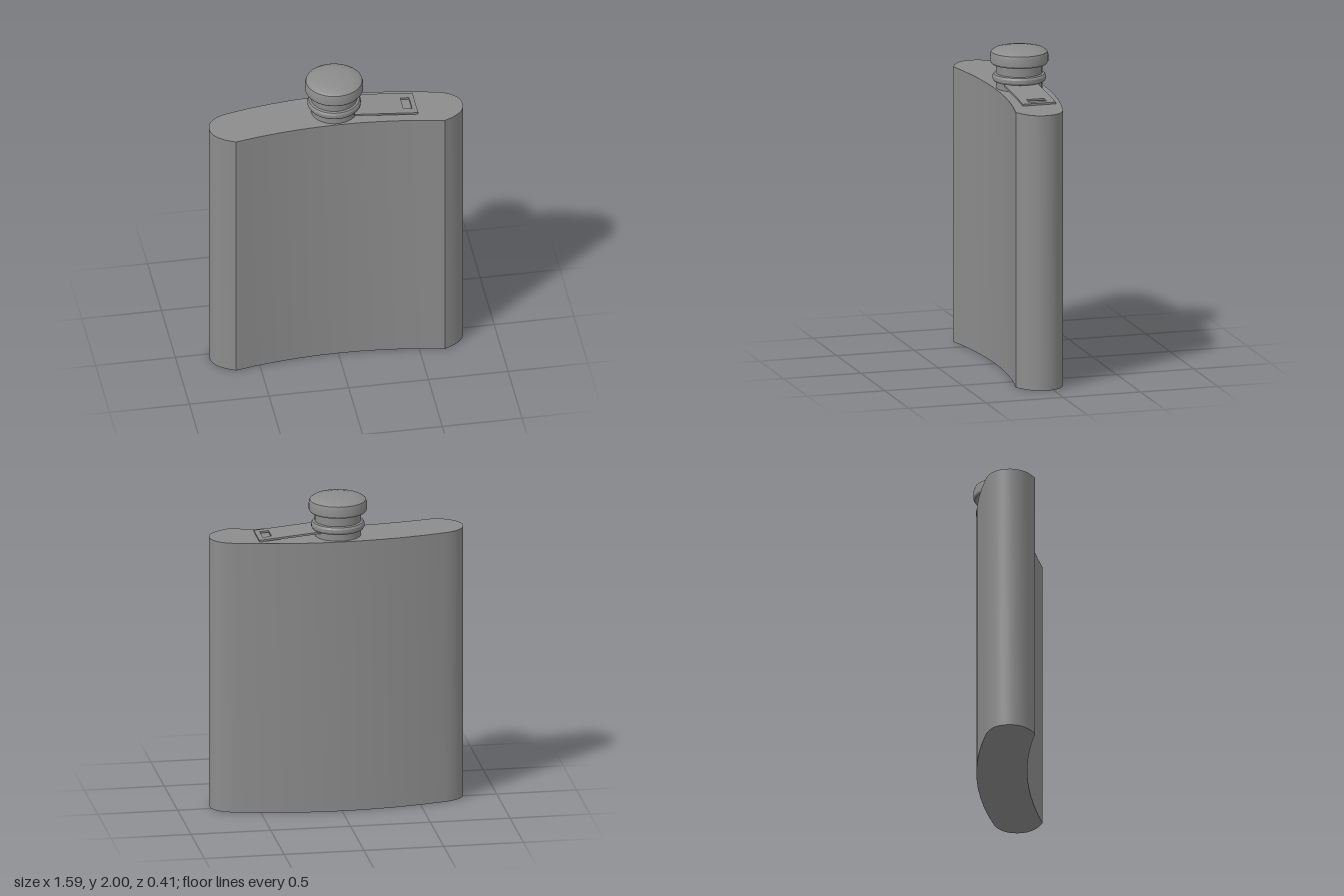
import * as THREE from 'three';
import { toCreasedNormals } from 'three/addons/utils/BufferGeometryUtils.js';

const steel = new THREE.MeshStandardMaterial({ color: 0x8c8c8c });
steel.name = 'steel grey';

function addPart(group, name, geometry, crease = 0.45) {
  const mesh = new THREE.Mesh(toCreasedNormals(geometry, crease), steel);
  mesh.name = name;
  group.add(mesh);
  return mesh;
}

// Extrudes a plan drawn in x and z downwards from y = 0
function extrudeDown(shape, depth) {
  return new THREE.ExtrudeGeometry(shape, { depth, bevelEnabled: false, curveSegments: 10 }).rotateX(Math.PI / 2);
}

export function createModel() {
  const flask = new THREE.Group();
  flask.name = 'flask';

  // Curved body with rounded ends
  const plan = new THREE.Shape();
  plan.moveTo(-0.655, -0.105);
  plan.quadraticCurveTo(0, -0.265, 0.655, -0.105);
  plan.bezierCurveTo(0.75, -0.08, 0.795, -0.03, 0.795, 0.045);
  plan.bezierCurveTo(0.795, 0.11, 0.75, 0.16, 0.655, 0.2);
  plan.quadraticCurveTo(0, 0.06, -0.655, 0.2);
  plan.bezierCurveTo(-0.75, 0.16, -0.795, 0.11, -0.795, 0.045);
  plan.bezierCurveTo(-0.795, -0.03, -0.75, -0.08, -0.655, -0.105);
  addPart(flask, 'body', extrudeDown(plan, 1.745)).position.y = 1.745;

  // Turned parts share the neck axis
  const turned = {
    neck: [[0.143, 1.74], [0.143, 1.92]],
    neckRing: [[0.14, 1.785], [0.157, 1.79], [0.165, 1.803], [0.165, 1.822], [0.157, 1.835], [0.14, 1.84]],
    cap: [[0, 1.9], [0.172, 1.9], [0.18, 1.912], [0.18, 1.955], [0.174, 1.975], [0.155, 1.988], [0.095, 2], [0, 2]],
  };
  for (const [name, profile] of Object.entries(turned)) {
    const points = profile.map(([r, y]) => new THREE.Vector2(r, y));
    addPart(flask, name, new THREE.LatheGeometry(points, 48)).position.z = -0.025;
  }

  // Sloping retaining strap with a slot near its tip
  const strap = new THREE.Shape();
  strap.moveTo(0, -0.106);
  strap.lineTo(0.4, -0.106);
  strap.lineTo(0.4, 0.106);
  strap.lineTo(0, 0.106);
  strap.closePath();
  const slot = new THREE.Path();
  slot.moveTo(0.315, -0.055);
  slot.lineTo(0.315, 0.06);
  slot.lineTo(0.37, 0.06);
  slot.lineTo(0.37, -0.055);
  slot.closePath();
  strap.holes.push(slot);
  const strapMesh = addPart(flask, 'strap', extrudeDown(strap, 0.012));
  strapMesh.position.set(0.107, 1.793, 0);
  strapMesh.rotation.z = -0.09;

  return flask;
}
